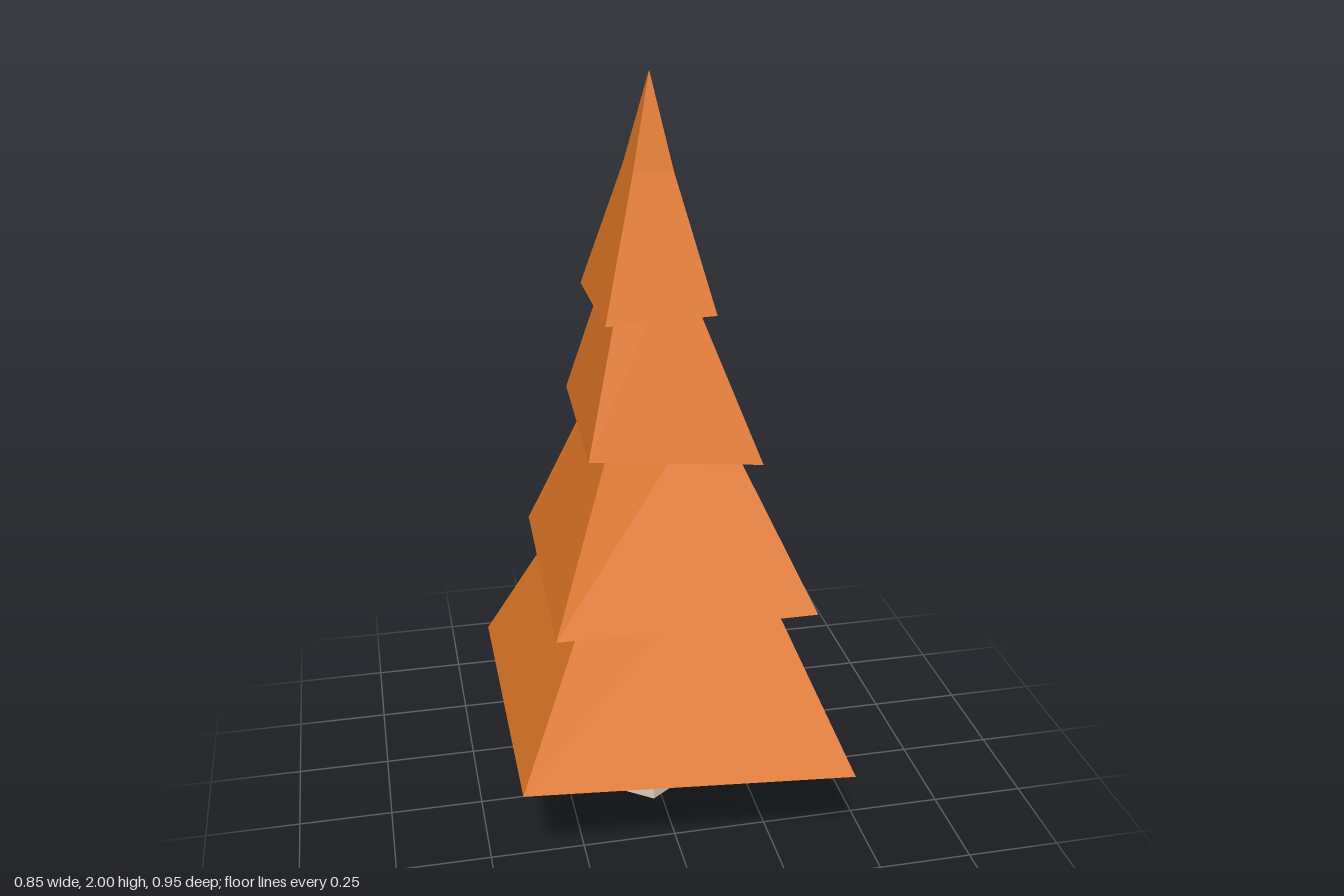
import * as THREE from 'three';

// Corner order everywhere: front left of picture (-x +z), (+x +z), (+x -z), (-x -z)
const foliage = new THREE.MeshStandardMaterial({ color: 0xe07726 });
foliage.name = 'autumn orange';
const bark = new THREE.MeshStandardMaterial({ color: 0xd6c8b8 });
bark.name = 'pale bark';

// Skin between four-cornered rings, closed by a tip above and a hollow below
function tierGeometry(rings, tip, hollow) {
  const pos = [];
  const tri = (a, b, c) => pos.push(...a, ...b, ...c);
  const last = rings[rings.length - 1];
  for (let i = 0; i < 4; i++) {
    const j = (i + 1) % 4;
    for (let r = 0; r + 1 < rings.length; r++) {
      const lo = rings[r], hi = rings[r + 1];
      tri(lo[i], lo[j], hi[j]);
      tri(lo[i], hi[j], hi[i]);
    }
    tri(last[i], last[j], tip);
    tri(rings[0][j], rings[0][i], hollow);
  }
  const geo = new THREE.BufferGeometry();
  geo.setAttribute('position', new THREE.Float32BufferAttribute(pos, 3));
  geo.computeVertexNormals();
  return geo;
}

// Continue each slanted edge past the neck, up inside the next tier
const extend = (base, neck, t) =>
  base.map((p, i) => p.map((v, k) => v + (neck[i][k] - v) * t));

const tiers = [
  {
    name: 'bottomTier', hollow: [-0.01, 0.57, 0],
    base: [[-0.425, 0.305, 0.42], [0.425, 0.28, 0.475], [0.4, 0.28, -0.445], [-0.42, 0.285, -0.475]],
    neck: [[-0.24, 0.69, 0.24], [0.25, 0.7, 0.25], [0.24, 0.7, -0.25], [-0.24, 0.69, -0.275]],
  },
  {
    name: 'lowerMiddleTier', hollow: [-0.01, 0.9, -0.02],
    base: [[-0.32, 0.685, 0.335], [0.34, 0.705, 0.365], [0.28, 0.705, -0.415], [-0.295, 0.685, -0.385]],
    neck: [[-0.16, 1.1, 0.17], [0.17, 1.08, 0.18], [0.15, 1.08, -0.21], [-0.15, 1.1, -0.2]],
  },
  {
    name: 'upperMiddleTier', hollow: [-0.01, 1.24, -0.02],
    base: [[-0.215, 1.115, 0.235], [0.22, 1.075, 0.245], [0.22, 1.075, -0.3], [-0.19, 1.115, -0.29]],
    neck: [[-0.125, 1.435, 0.11], [0.085, 1.44, 0.105], [0.085, 1.44, -0.145], [-0.115, 1.435, -0.155]],
  },
  {
    name: 'topTier', hollow: [-0.015, 1.53, -0.02],
    base: [[-0.157, 1.43, 0.16], [0.118, 1.44, 0.16], [0.118, 1.44, -0.21], [-0.157, 1.43, -0.21]],
    shoulder: [[-0.067, 1.77, 0.05], [0.033, 1.77, 0.05], [0.033, 1.77, -0.075], [-0.067, 1.77, -0.075]],
    tip: [-0.015, 2, -0.01],
  },
];

export function createModel() {
  const tree = new THREE.Group();
  tree.name = 'tree';

  // Four stacked skirts of foliage
  for (const t of tiers) {
    const upper = t.shoulder ?? extend(t.base, t.neck, 1.35);
    const tip = t.tip ?? [-0.015, upper[0][1] + 0.1, -0.015];
    const mesh = new THREE.Mesh(tierGeometry([t.base, upper], tip, t.hollow), foliage);
    mesh.name = t.name;
    tree.add(mesh);
  }

  // Tapered five-sided trunk reaching up into the hollow
  const trunkGeo = new THREE.CylinderGeometry(0.02, 0.08, 0.53, 5).toNonIndexed();
  trunkGeo.computeVertexNormals();
  const trunk = new THREE.Mesh(trunkGeo, bark);
  trunk.name = 'trunk';
  trunk.position.set(-0.024, 0.265, 0.005);
  tree.add(trunk);

  return tree;
}
